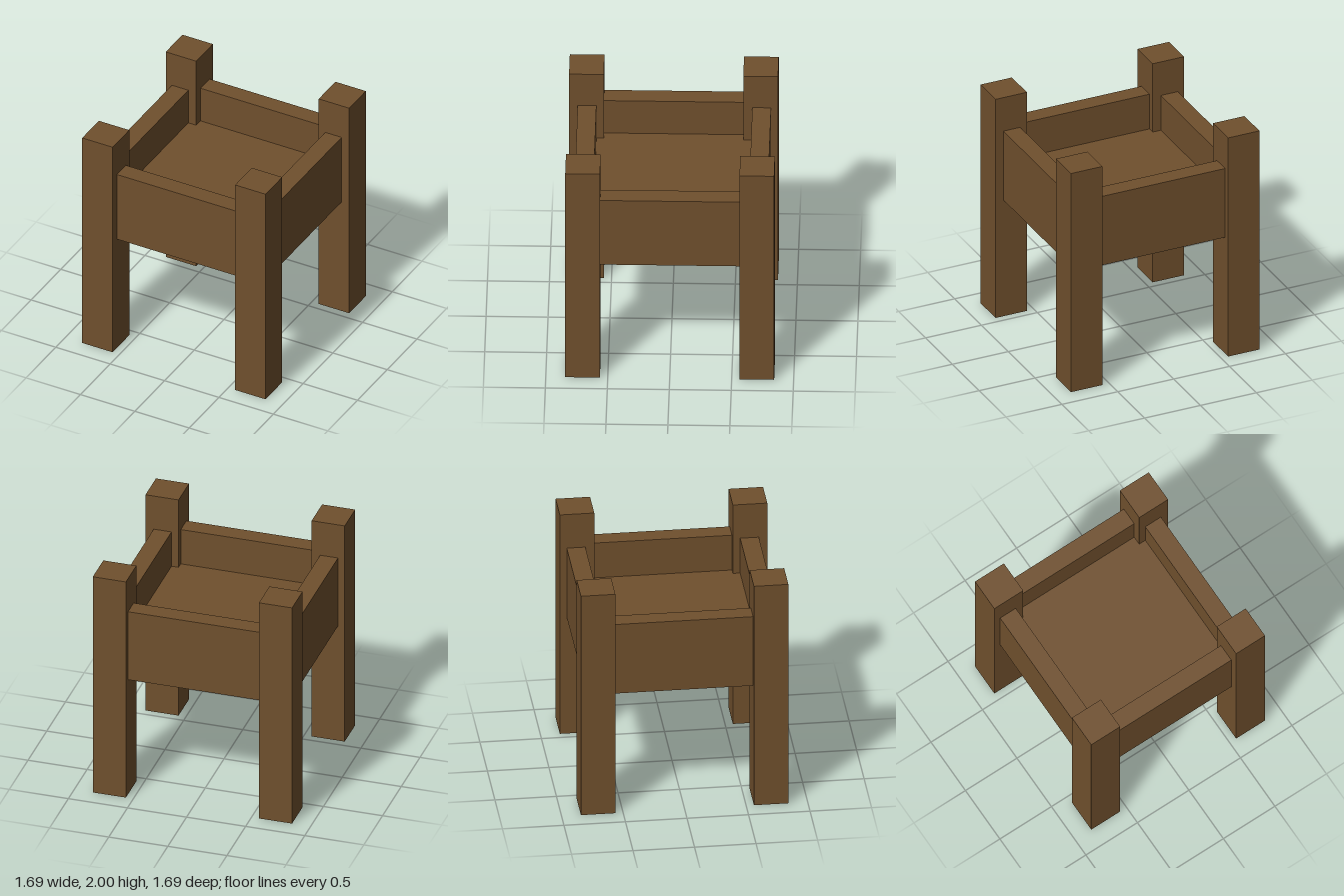
import * as THREE from 'three';

const wood = new THREE.MeshStandardMaterial({ color: 0x70502d, side: THREE.DoubleSide });
wood.name = 'brown wood';

// Box hollow on its underside: all faces except the bottom one
function openBox(name, w, h, d, x, y, z) {
  const geometry = new THREE.BoxGeometry(w, h, d);
  const index = Array.from(geometry.index.array);
  index.splice(18, 6); // the bottom face
  geometry.setIndex(index);
  geometry.clearGroups();
  const mesh = new THREE.Mesh(geometry, wood);
  mesh.name = name;
  mesh.position.set(x, y, z);
  return mesh;
}

export function createModel() {
  const model = new THREE.Group();
  model.name = 'raisedPlanter';

  const legWidth = 0.28, legCentre = 0.703;
  const boardLength = 1.126, boardHeight = 0.63, boardThickness = 0.151, boardY = 1.378;
  const boardLow = -0.711, boardHigh = 0.698;

  // Four corner posts
  for (const [sx, xName] of [[1, 'Left'], [-1, 'Right']]) {
    for (const [sz, zName] of [[1, 'front'], [-1, 'back']]) {
      model.add(openBox(zName + xName + 'Leg', legWidth, 2, legWidth, sx * legCentre, 1, sz * legCentre));
    }
  }

  // Side boards between the posts
  for (const [name, z] of [['frontBoard', boardHigh], ['backBoard', boardLow]]) {
    model.add(openBox(name, boardLength, boardHeight, boardThickness, 0, boardY, z));
  }
  for (const [name, x] of [['leftBoard', boardHigh], ['rightBoard', boardLow]]) {
    model.add(openBox(name, boardThickness, boardHeight, boardLength, x, boardY, 0));
  }

  // Thin floor panel set halfway up the boards
  const floor = new THREE.Mesh(new THREE.PlaneGeometry(1.26, 1.26).rotateX(-Math.PI / 2), wood);
  floor.name = 'floorPanel';
  floor.position.set(-0.007, 1.375, -0.007);
  model.add(floor);

  return model;
}
